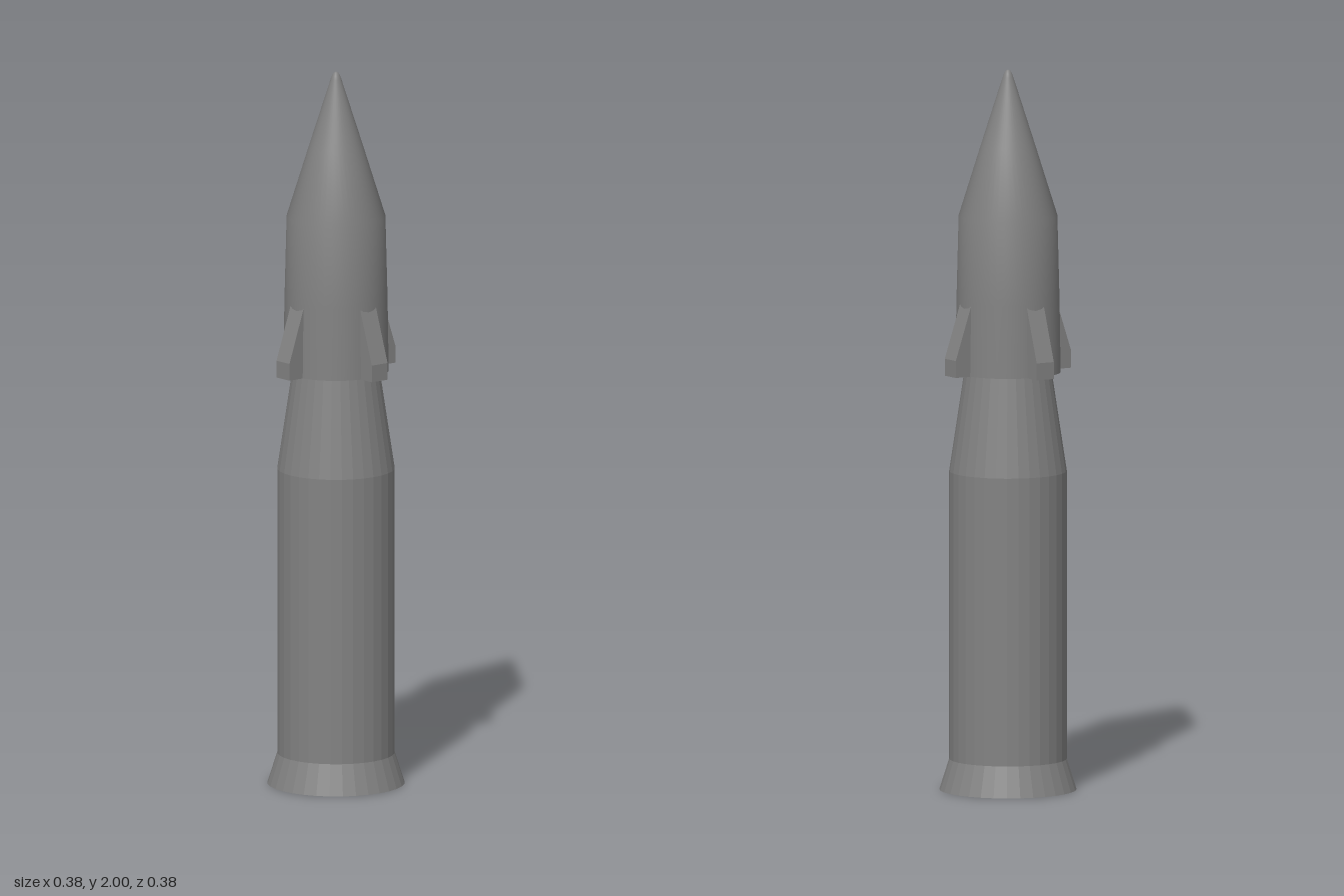
import * as THREE from 'three';

const grey = (flatShading) => new THREE.MeshStandardMaterial({ color: 0x828282, flatShading });
const points = (list) => list.map(([r, y]) => new THREE.Vector2(r, y));

function lathe(name, profile, sides, flat) {
  const mesh = new THREE.Mesh(new THREE.LatheGeometry(points(profile), sides), grey(flat));
  mesh.name = name;
  return mesh;
}

export function createModel() {
  const model = new THREE.Group();

  // Faceted cartridge case: flared rim, straight wall, tapering neck
  model.add(lathe('case', [
    [0, 0], [0.189, 0], [0.162, 0.085], [0.162, 0.885], [0.119, 1.17], [0, 1.17],
  ], 32, true));

  // Smooth projectile: flat base, then body and nose in one continuous surface
  const projectile = new THREE.Group();
  projectile.name = 'projectile';
  projectile.add(
    lathe('projectileBase', [[0, 1.16], [0.145, 1.16]], 48, false),
    lathe('projectileBody', [
      [0.145, 1.16], [0.142, 1.36], [0.136, 1.595], [0.075, 1.79],
      [0.015, 1.978], [0.011, 1.989], [0.006, 1.997], [0, 2],
    ], 48, false),
  );
  model.add(projectile);

  // Four fins with sloping leading edges
  const width = 0.056;
  const finShape = new THREE.Shape(points([[0.125, 1.16], [0.189, 1.16], [0.189, 1.207], [0.139, 1.355], [0.125, 1.355]]));
  const finGeometry = new THREE.ExtrudeGeometry(finShape, { depth: width, bevelEnabled: false });
  finGeometry.translate(0, 0, -width / 2);
  for (let i = 0; i < 4; i++) {
    const fin = new THREE.Mesh(finGeometry, grey(true));
    fin.name = `fin${i + 1}`;
    fin.rotation.y = i * Math.PI / 2;
    model.add(fin);
  }
  return model;
}
